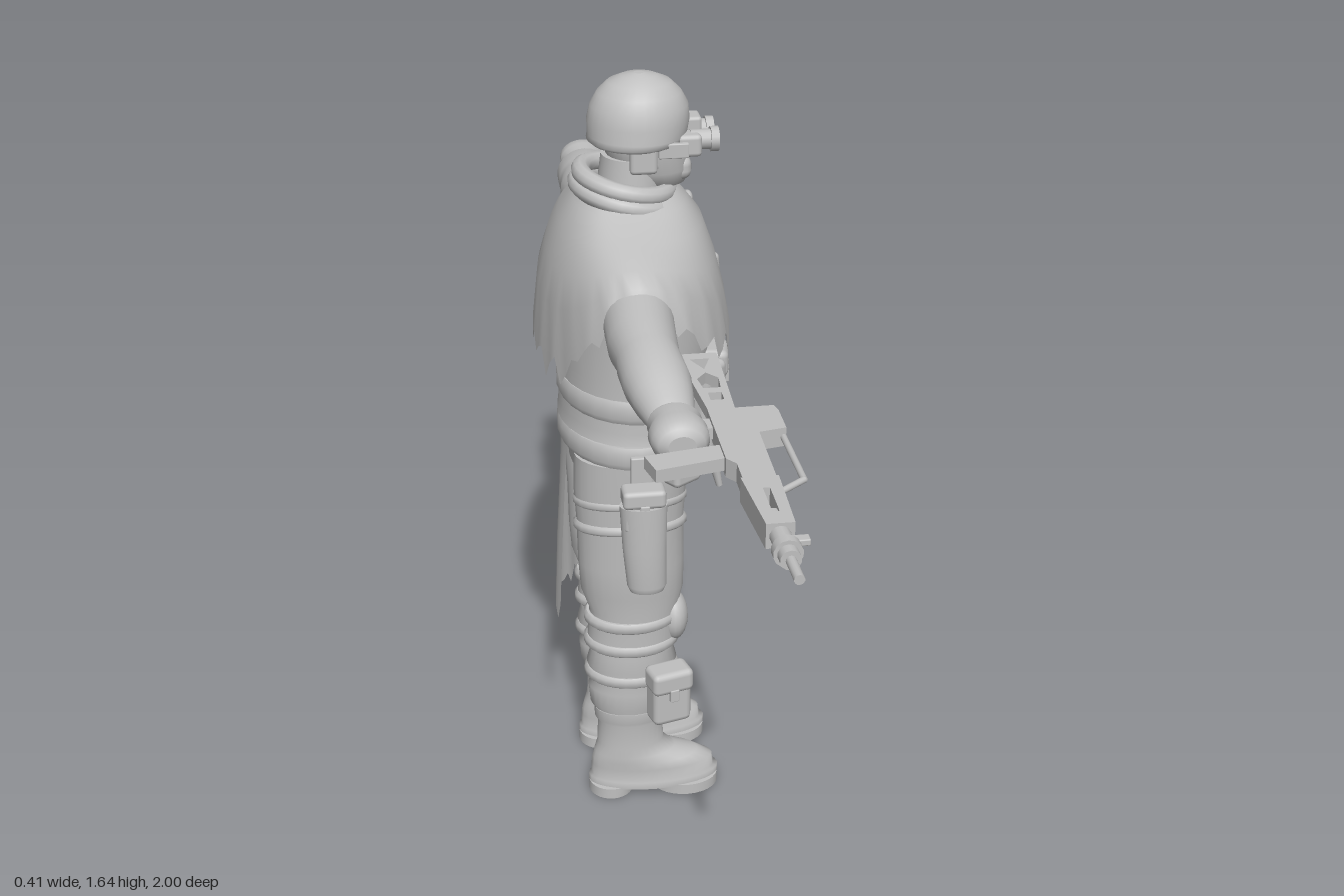
import * as THREE from 'three';
import { RoundedBoxGeometry } from 'three/addons/geometries/RoundedBoxGeometry.js';

const CZ = -0.235; // the body's middle plane; it faces +x
const { sin, cos, abs, PI } = Math;

export function createModel() {
  const root = new THREE.Group();
  const grey = new THREE.MeshStandardMaterial({ color: 0xc0c0c0, side: THREE.DoubleSide });
  grey.name = 'plain grey';

  let seed = 7;
  const rnd = () => (seed = (seed * 16807) % 2147483647) / 2147483647;

  function add(name, geo, parent = root) {
    const m = new THREE.Mesh(geo, grey);
    m.name = name;
    parent.add(m);
    return m;
  }
  // surface from rows of points f(row, column)
  function grid(rows, cols, f, closed = true) {
    const pos = [], idx = [];
    for (let i = 0; i < rows; i++) for (let j = 0; j < cols; j++) pos.push(...f(i, j));
    for (let i = 0; i < rows - 1; i++) for (let j = 0; j < (closed ? cols : cols - 1); j++) {
      const a = i * cols + j, b = i * cols + (j + 1) % cols, c = a + cols, d = b + cols;
      idx.push(a, c, b, b, c, d);
    }
    const g = new THREE.BufferGeometry();
    g.setAttribute('position', new THREE.Float32BufferAttribute(pos, 3));
    g.setIndex(idx);
    g.computeVertexNormals();
    return g;
  }
  // stacked ellipses [t, c1, c2, r1, r2] along y (x,z) or along z (x,y), with crisp closed ends
  function loft(rows, axis = 'y', n = 28) {
    const cap = r => [r[0], r[1], r[2], 0, 0];
    const first = rows[0], last = rows[rows.length - 1];
    const all = [cap(first), first, ...rows, last, cap(last)];
    return grid(all.length, n, (i, j) => {
      const [t, c1, c2, r1, r2] = all[i], a = (axis === 'y' ? 1 : -1) * j / n * PI * 2;
      const u = c1 + r1 * cos(a), v = c2 + r2 * sin(a);
      return axis === 'y' ? [u, t, v] : [u, v, t];
    });
  }
  function box(name, x, y, z, w, h, d, parent = root, r = 0.2) {
    const m = add(name, new RoundedBoxGeometry(w, h, d, 2, Math.min(w, h, d) * r), parent);
    m.position.set(x, y, z);
    return m;
  }
  function rod(name, a, b, r, parent = root, r2 = r) {
    const p = new THREE.Vector3(...a), q = new THREE.Vector3(...b);
    const m = add(name, new THREE.CylinderGeometry(r2, r, p.distanceTo(q), 14), parent);
    m.position.copy(p).lerp(q, 0.5);
    m.quaternion.setFromUnitVectors(new THREE.Vector3(0, 1, 0), q.sub(p).normalize());
  }
  // pouch with flap and button; deg is its outward heading, 0 = forward, 90 = +z
  function pouch(name, x, y, z, w, h, d, deg, roll = 0) {
    const g = new THREE.Group();
    g.name = name;
    g.position.set(x, y, z);
    g.rotation.set(0, PI / 2 - deg * PI / 180, roll, 'YXZ');
    box(name + 'Body', 0, -h * 0.04, 0, w * 0.94, h * 0.92, d * 0.9, g, 0.25);
    box(name + 'Flap', 0, h * 0.3, d * 0.04, w, h * 0.4, d, g, 0.25);
    box(name + 'Tab', 0, h * 0.08, d * 0.48, w * 0.22, h * 0.22, 0.012, g);
    root.add(g);
    return g;
  }
  const band = (name, y, cx, cz, rx, rz, h, tilt = 0) => {
    const m = add(name, loft([[-h / 2, 0, 0, rx, rz], [-h / 4, 0, 0, rx + 0.006, rz + 0.006],
      [h / 4, 0, 0, rx + 0.006, rz + 0.006], [h / 2, 0, 0, rx, rz]]));
    m.position.set(cx, y, cz);
    m.rotation.x = tilt;
    return m;
  };

  // torso, belt and hips
  add('torso', loft([[0.915, -0.005, CZ, 0.158, 0.195], [0.94, -0.005, CZ, 0.155, 0.19],
    [1.05, 0, CZ, 0.155, 0.19], [1.17, 0, CZ, 0.16, 0.2], [1.27, -0.01, CZ, 0.145, 0.21],
    [1.35, -0.01, CZ, 0.1, 0.17], [1.4, 0, CZ, 0.06, 0.08]]));
  add('hips', loft([[0.76, -0.02, CZ, 0.09, 0.1], [0.81, -0.02, CZ, 0.12, 0.17], [0.92, -0.01, CZ, 0.14, 0.185]]));
  band('belt', 0.885, -0.01, CZ, 0.148, 0.19, 0.05);
  band('vestBand', 0.99, 0, CZ, 0.158, 0.193, 0.05);

  // legs and boots
  for (const s of [1, -1]) {
    const z = CZ + s * 0.09, zb = CZ + s * 0.098;
    add('leg', loft([[0.2, -0.025, zb, 0.065, 0.05], [0.235, -0.025, z, 0.088, 0.064], [0.28, -0.022, z, 0.095, 0.07],
      [0.3, -0.022, z, 0.085, 0.064], [0.34, -0.02, z, 0.1, 0.072], [0.37, -0.02, z, 0.092, 0.067],
      [0.41, -0.018, z, 0.1, 0.07], [0.48, -0.015, z, 0.098, 0.068], [0.53, -0.018, z, 0.112, 0.076],
      [0.6, -0.02, z, 0.115, 0.08], [0.7, -0.022, z, 0.115, 0.083], [0.78, -0.022, z, 0.12, 0.088],
      [0.86, -0.02, z, 0.12, 0.092]]));
    for (const y of [0.32, 0.4, 0.46]) band('legStrap', y, -0.02, z, 0.099, 0.071, 0.026, s * 0.08);
    const pad = add('kneePad', new THREE.SphereGeometry(1, 20, 12));
    pad.scale.set(0.035, 0.06, 0.052);
    pad.position.set(0.07, 0.445, z);
    add('boot', loft([[0.022, 0.028, zb, 0.148, 0.06], [0.04, 0.028, zb, 0.148, 0.061], [0.043, 0.026, zb, 0.14, 0.055],
      [0.07, 0.024, zb, 0.138, 0.056], [0.088, 0.008, zb, 0.12, 0.055], [0.105, -0.015, zb, 0.092, 0.053],
      [0.13, -0.025, zb, 0.075, 0.05], [0.19, -0.025, zb, 0.073, 0.05], [0.2, -0.025, zb, 0.08, 0.056],
      [0.225, -0.025, zb, 0.08, 0.056]]));
    add('heel', loft([[0, -0.07, zb, 0.05, 0.053], [0.025, -0.07, zb, 0.05, 0.053]]));
    add('sole', loft([[0, 0.1, zb, 0.075, 0.06], [0.025, 0.1, zb, 0.075, 0.06]]));
  }
  for (const y of [0.69, 0.75]) band('holsterStrap', y, -0.022, CZ + 0.09, 0.116, 0.086, 0.022, -0.2);

  // arms with closed fists
  const armRows = [[0, -0.03, 1.25, 0.075, 0.08], [0.1, -0.035, 1.247, 0.068, 0.07], [0.18, -0.04, 1.245, 0.066, 0.067],
    [0.24, -0.038, 1.243, 0.06, 0.06], [0.26, -0.038, 1.24, 0.062, 0.062], [0.33, -0.034, 1.235, 0.063, 0.058],
    [0.38, -0.03, 1.225, 0.055, 0.05], [0.42, -0.025, 1.215, 0.045, 0.04], [0.435, -0.022, 1.21, 0.04, 0.035]];
  const fistRows = [[0.425, -0.02, 1.21, 0.045, 0.036], [0.44, -0.02, 1.21, 0.05, 0.042], [0.455, -0.02, 1.21, 0.046, 0.039],
    [0.48, -0.02, 1.21, 0.054, 0.044], [0.51, -0.02, 1.21, 0.052, 0.042], [0.525, -0.02, 1.21, 0.042, 0.033],
    [0.531, -0.02, 1.21, 0.025, 0.02]];
  for (const s of [1, -1]) {
    const place = rows => s > 0 ? rows : rows.map(([t, ...r]) => [2 * CZ - t, ...r]).reverse();
    add('arm', loft(place(armRows), 'z'));
    add('fist', loft(place(fistRows), 'z'));
  }

  // ragged shawl: rows of [front reach, front height, side reach, side height]
  const shawl = [[0.09, 1.42, 0.1, 1.41], [0.115, 1.39, 0.15, 1.385], [0.145, 1.35, 0.22, 1.365], [0.17, 1.28, 0.29, 1.345],
    [0.188, 1.21, 0.335, 1.325], [0.2, 1.15, 0.36, 1.3]];
  add('shawl', grid(shawl.length, 72, (i, j) => {
    const a = j / 72 * PI * 2, [fx, fy, sz, sy] = shawl[i], w = abs(sin(a)) ** 3;
    let y = fy + (sy - fy) * w;
    if (i === shawl.length - 1) y -= (j % 3) * 0.018 + rnd() * 0.04 + (cos(a) < -0.7 ? 0.03 : 0);
    return [-0.008 - 0.025 * w + fx * cos(a), y, CZ + sz * sin(a)];
  }));
  for (const [i, y] of [1.4, 1.425].entries()) {
    const collar = add('collar', new THREE.TorusGeometry(0.098 - i * 0.008, 0.019, 10, 32));
    collar.rotation.set(PI / 2, -0.22, 0);
    collar.scale.y = 1.1;
    collar.position.set(-0.018, y, CZ);
  }
  const brooch = add('brooch', new THREE.SphereGeometry(0.022, 16, 10));
  brooch.scale.set(0.5, 0.7, 1);
  brooch.position.set(0.125, 1.345, -0.32);

  // half skirt round one leg: rows of [height, start angle, end angle, rx, rz]
  const skirt = [[0.885, 0, 195, 0.142, 0.19], [0.84, 14, 195, 0.142, 0.195], [0.78, 30, 194, 0.145, 0.2],
    [0.62, 34, 192, 0.153, 0.21], [0.46, 35, 188, 0.158, 0.218]];
  add('skirtCloth', grid(skirt.length, 40, (i, j) => {
    const [y, a0, a1, rx, rz] = skirt[i], a = -(a0 + (a1 - a0) * j / 39) * PI / 180;
    const fold = 1 + 0.025 * sin(j * 0.9) * i / 4;
    const hem = i === 4 ? (j % 3) * 0.015 + rnd() * 0.03 : 0;
    return [-0.015 + rx * cos(a) * fold, y - hem, CZ + rz * sin(a) * fold];
  }, false));

  // head, helmet and goggles
  add('neck', loft([[1.36, -0.01, CZ, 0.07, 0.075], [1.48, 0, CZ, 0.065, 0.065]]));
  add('head', loft([[1.412, 0.055, CZ, 0.035, 0.03], [1.42, 0.045, CZ, 0.06, 0.05], [1.45, 0.035, CZ, 0.078, 0.064],
    [1.5, 0.022, CZ, 0.085, 0.073], [1.56, 0.015, CZ, 0.085, 0.076]]));
  add('helmet', loft([[1.505, 0.002, CZ, 0.088, 0.09], [1.512, 0.006, CZ, 0.1, 0.1], [1.522, 0.008, CZ, 0.1, 0.097],
    [1.55, 0.01, CZ, 0.103, 0.096], [1.58, 0.012, CZ, 0.098, 0.09], [1.605, 0.012, CZ, 0.084, 0.077],
    [1.625, 0.012, CZ, 0.063, 0.058], [1.637, 0.012, CZ, 0.035, 0.032], [1.642, 0.012, CZ, 0.01, 0.01]], 'y', 32));
  box('faceMask', 0.085, 1.45, CZ, 0.06, 0.05, 0.08, root, 0.4);
  box('goggleMount', 0.115, 1.535, CZ, 0.04, 0.035, 0.05);
  box('goggleBody', 0.105, 1.505, CZ, 0.05, 0.045, 0.125);
  for (const s of [1, -1]) {
    const z = CZ + s * 0.032;
    rod('goggleTube', [0.11, 1.51, z], [0.155, 1.51, z], 0.02);
    rod('goggleRim', [0.15, 1.51, z], [0.166, 1.51, z], 0.025);
    box('goggleArm', 0.07, 1.505, CZ + s * 0.078, 0.06, 0.03, 0.012);
    box('earCover', 0.01, 1.49, CZ + s * 0.078, 0.055, 0.06, 0.022, root, 0.4);
    rod('chinStrap', [0.015, 1.5, CZ + s * 0.08], [0.075, 1.42, CZ + s * 0.03], 0.007);
  }

  // chest and belt gear
  pouch('waistPouch', 0.055, 0.998, -0.06, 0.075, 0.155, 0.065, 72);
  pouch('waistPouch', 0.125, 0.998, -0.098, 0.08, 0.155, 0.065, 42);
  pouch('waistPouch', 0.155, 0.998, -0.175, 0.08, 0.155, 0.065, 10);
  const shells = new THREE.Group();
  shells.name = 'cartridgePanel';
  shells.position.set(0.155, 0.995, -0.3);
  shells.rotation.y = PI / 2 + 0.3;
  root.add(shells);
  box('panel', 0, 0, 0, 0.145, 0.11, 0.03, shells);
  box('loops', 0, 0, 0.018, 0.14, 0.03, 0.03, shells);
  for (let i = 0; i < 6; i++) {
    const x = -0.058 + i * 0.023;
    rod('cartridge', [x, -0.045, 0.018], [x, 0.05, 0.018], 0.009, shells);
    rod('cartridgeTip', [x, 0.05, 0.018], [x, 0.065, 0.018], 0.009, shells, 0.004);
  }
  pouch('chestPouch', 0.155, 1.14, -0.345, 0.095, 0.15, 0.055, -25, -0.1);
  pouch('chestSheath', 0.17, 1.125, -0.275, 0.035, 0.13, 0.04, -8, -0.15);
  pouch('sidePouch', 0.06, 1.025, -0.425, 0.08, 0.125, 0.055, -75);
  pouch('beltPouch', 0.05, 0.893, -0.425, 0.085, 0.1, 0.055, -75);
  pouch('beltPouch', 0.078, 0.862, -0.075, 0.08, 0.1, 0.055, 55);
  pouch('beltPouch', 0.135, 0.88, -0.34, 0.06, 0.06, 0.04, -30);
  box('buckle', 0.142, 0.885, CZ, 0.02, 0.05, 0.06);
  rod('knifeHandle', [0.14, 0.905, -0.15], [0.15, 0.85, -0.15], 0.011);
  rod('knifeSheath', [0.148, 0.86, -0.15], [0.172, 0.755, -0.152], 0.015, root, 0.007);
  rod('clip', [0.14, 0.9, -0.115], [0.145, 0.81, -0.118], 0.01);

  // thigh holster and shin pouches
  pouch('holsterTop', -0.012, 0.79, -0.012, 0.09, 0.1, 0.055, 90);
  add('holster', loft([[0.595, -0.005, -0.01, 0.036, 0.024], [0.61, -0.005, -0.01, 0.042, 0.03],
    [0.7, -0.01, -0.01, 0.046, 0.032], [0.8, -0.012, -0.01, 0.05, 0.032]]));
  box('holsterHanger', -0.012, 0.85, -0.038, 0.045, 0.09, 0.015);
  pouch('shinPouch', 0.05, 0.297, -0.058, 0.095, 0.135, 0.065, 75);
  pouch('shinPouch', 0.02, 0.337, -0.425, 0.095, 0.125, 0.06, -80);

  // rifle held on its side: flat outlines [x, z] given a thickness in y
  const gun = new THREE.Group();
  gun.name = 'rifle';
  gun.position.y = 1.212;
  root.add(gun);
  function plate(name, pts, t, holes = []) {
    const v = p => p.map(q => new THREE.Vector2(...q));
    const shape = new THREE.Shape(v(pts));
    holes.forEach(h => shape.holes.push(new THREE.Path(v(h))));
    const geo = new THREE.ExtrudeGeometry(shape, { depth: t, bevelEnabled: false });
    geo.translate(0, 0, -t / 2).rotateX(PI / 2);
    add(name, geo, gun);
  }
  plate('stock', [[0.025, 0.18], [0.1, 0.18], [0.1, 0.2], [0.092, 0.44], [0.045, 0.44], [0.03, 0.26]], 0.022,
    [[[0.045, 0.205], [0.082, 0.205], [0.065, 0.25]], [[0.045, 0.29], [0.065, 0.265], [0.085, 0.29], [0.082, 0.33], [0.05, 0.33]],
      [[0.055, 0.35], [0.08, 0.35], [0.08, 0.38], [0.055, 0.38]]]);
  plate('receiver', [[0.04, 0.43], [0.16, 0.43], [0.165, 0.45], [0.165, 0.52], [0.115, 0.53], [0.112, 0.74],
    [0.055, 0.74], [0.055, 0.64], [0.04, 0.62]], 0.036);
  plate('magazine', [[0.05, 0.555], [0.05, 0.605], [-0.082, 0.635], [-0.095, 0.58]], 0.024);
  plate('pistolGrip', [[0.05, 0.45], [0.05, 0.49], [-0.03, 0.495], [-0.03, 0.465]], 0.022);
  plate('foreStock', [[0.05, 0.7], [0.115, 0.7], [0.11, 0.86], [0.062, 0.86]], 0.046,
    [[[0.08, 0.74], [0.092, 0.74], [0.092, 0.82], [0.08, 0.82]]]);
  rod('carryHandle', [0.16, 0, 0.5], [0.163, 0, 0.68], 0.006, gun);
  rod('carryHandleFront', [0.163, 0, 0.68], [0.105, 0, 0.725], 0.006, gun);
  rod('barrel', [0.085, 0, 0.8], [0.087, 0, 0.94], 0.018, gun);
  rod('muzzle', [0.087, 0, 0.9], [0.087, 0, 0.92], 0.025, gun);
  rod('barrelTip', [0.087, 0, 0.94], [0.088, 0, 1.0], 0.009, gun);
  box('frontSight', 0.115, 0, 0.88, 0.03, 0.012, 0.02, gun);

  return root;
}
